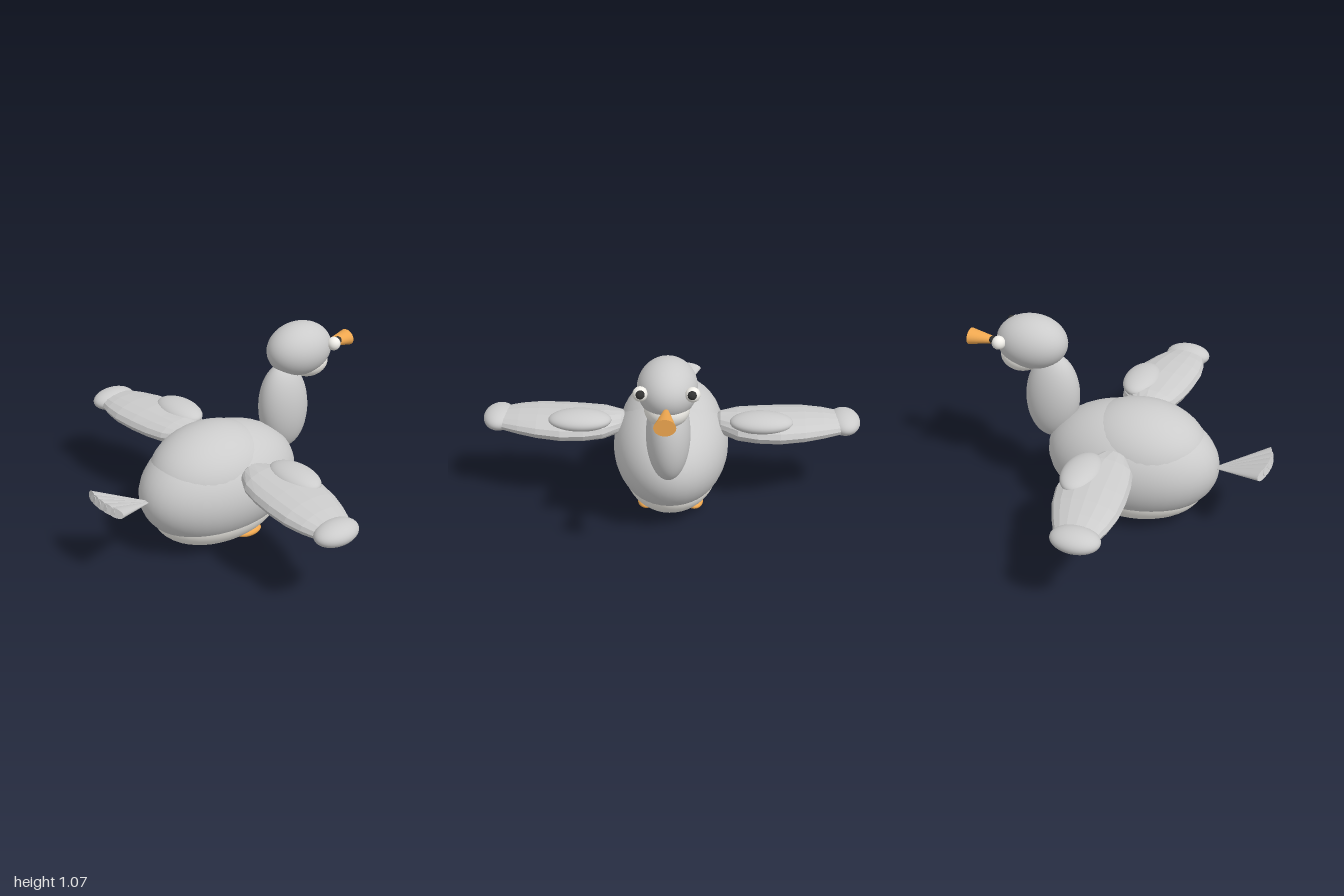
import * as THREE from 'three';

const mat = (color, extra = {}) => new THREE.MeshStandardMaterial({ color, ...extra });

// Loft a closed tube along x; each station is [x, front z, back z, bottom y, top y]
function loftAlongX(stations, sides) {
  const rows = stations.length - 1;
  const geo = new THREE.CylinderGeometry(1, 1, 1, sides, rows);
  const p = geo.attributes.position;
  for (let i = 0; i < p.count; i++) {
    const [x, z0, z1, y0, y1] = stations[Math.round((0.5 - p.getY(i)) * rows)];
    const a = p.getX(i), b = p.getZ(i);
    p.setXYZ(i, x, (y0 + y1) / 2 + a * (y1 - y0) / 2, (z0 + z1) / 2 + b * (z1 - z0) / 2);
  }
  // stations run towards +x while the cylinder runs downwards: keep faces outward
  const idx = geo.index;
  const v = (k) => new THREE.Vector3().fromBufferAttribute(p, idx.getX(k));
  const n = v(1).sub(v(0)).cross(v(2).sub(v(0)));
  const mid = v(0).add(v(1)).add(v(2)).divideScalar(3);
  const [x, z0, z1, y0, y1] = stations[0];
  mid.sub(new THREE.Vector3(x, (y0 + y1) / 2, (z0 + z1) / 2)).setX(0);
  if (n.dot(mid) < 0) {
    for (let k = 0; k < idx.count; k += 3) {
      const t = idx.getX(k);
      idx.setX(k, idx.getX(k + 1));
      idx.setX(k + 1, t);
    }
  }
  geo.computeVertexNormals();
  return geo;
}

export function createModel() {
  const model = new THREE.Group();
  const grey = mat(0xcccccc);
  const facetGrey = mat(0xcccccc, { flatShading: true });
  const pale = mat(0xf2f0ea);
  const orange = mat(0xf0a850);
  const dark = mat(0x333333);
  const ball = new THREE.SphereGeometry(1, 40, 28);

  const add = (name, geo, material, parent = model) => {
    const m = new THREE.Mesh(geo, material);
    m.name = name;
    parent.add(m);
    return m;
  };
  const ellipsoid = (name, pos, radii, material = grey) => {
    const m = add(name, ball, material);
    m.position.set(...pos);
    m.scale.set(...radii);
    return m;
  };

  // Body
  ellipsoid('body', [0, 0.335, 0.08], [0.305, 0.30, 0.465]);
  ellipsoid('back', [0, 0.42, 0.13], [0.27, 0.24, 0.35]);
  ellipsoid('belly', [0, 0.203, 0.08], [0.255, 0.203, 0.39], pale);

  // Neck and head
  ellipsoid('neck', [0, 0.62, -0.367], [0.11, 0.245, 0.146]).rotation.x = 0.06;
  ellipsoid('head', [0, 0.925, -0.473], [0.145, 0.142, 0.19]);
  ellipsoid('throat', [0, 0.845, -0.53], [0.11, 0.09, 0.115], pale);

  // Beak flares outwards from the face
  const beakGeo = new THREE.ConeGeometry(1, 1, 32).rotateX(Math.PI / 2);
  const beak = add('beak', beakGeo, orange);
  beak.scale.set(0.052, 0.042, 0.225);
  beak.position.set(0, 0.89, -0.7125);

  // Tail: a fan of flat feathers tilted up
  const tail = new THREE.Group();
  tail.name = 'tail';
  tail.position.set(0, 0.355, 0.51);
  tail.rotation.x = -0.31;
  model.add(tail);
  const feather = new THREE.ConeGeometry(0.052, 0.32, 20)
    .rotateX(-Math.PI / 2).translate(0, 0, 0.16).scale(1, 0.45, 1);
  for (let i = -2; i <= 2; i++) {
    add('tailFeather', feather, grey, tail).rotation.y = i * 0.16;
  }

  // Wing surface
  const wingGeo = loftAlongX([
    [0.23, 0.02, 0.10, 0.43, 0.50],
    [0.26, -0.02, 0.14, 0.412, 0.525],
    [0.35, -0.10, 0.195, 0.40, 0.535],
    [0.45, -0.125, 0.22, 0.393, 0.535],
    [0.57, -0.13, 0.237, 0.39, 0.535],
    [0.70, -0.10, 0.243, 0.393, 0.53],
    [0.80, -0.06, 0.23, 0.40, 0.52],
    [0.89, -0.015, 0.205, 0.41, 0.505],
  ], 16);
  const wingMirrored = wingGeo.clone().rotateY(Math.PI).scale(1, 1, 1);
  // rotateY flips z too, so restore z and reverse the faces
  const mp = wingMirrored.attributes.position;
  for (let i = 0; i < mp.count; i++) mp.setZ(i, -mp.getZ(i));
  wingMirrored.index.array.reverse();
  wingMirrored.computeVertexNormals();

  // Paired parts
  for (const s of [1, -1]) {
    const side = s > 0 ? 'left' : 'right';
    add(side + 'Wing', s > 0 ? wingGeo : wingMirrored, facetGrey);
    ellipsoid(side + 'WingTip', [s * 0.915, 0.46, 0.105], [0.085, 0.058, 0.125]);
    ellipsoid(side + 'WingCovert', [s * 0.473, 0.515, -0.03], [0.165, 0.052, 0.097]);
    ellipsoid(side + 'Eye', [s * 0.122, 0.953, -0.607], [0.036, 0.036, 0.036], pale);
    ellipsoid(side + 'Pupil', [s * 0.12, 0.963, -0.637], [0.021, 0.021, 0.021], dark);
    ellipsoid(side + 'Foot', [s * 0.128, 0.035, -0.022], [0.048, 0.027, 0.08], orange);
  }
  return model;
}
